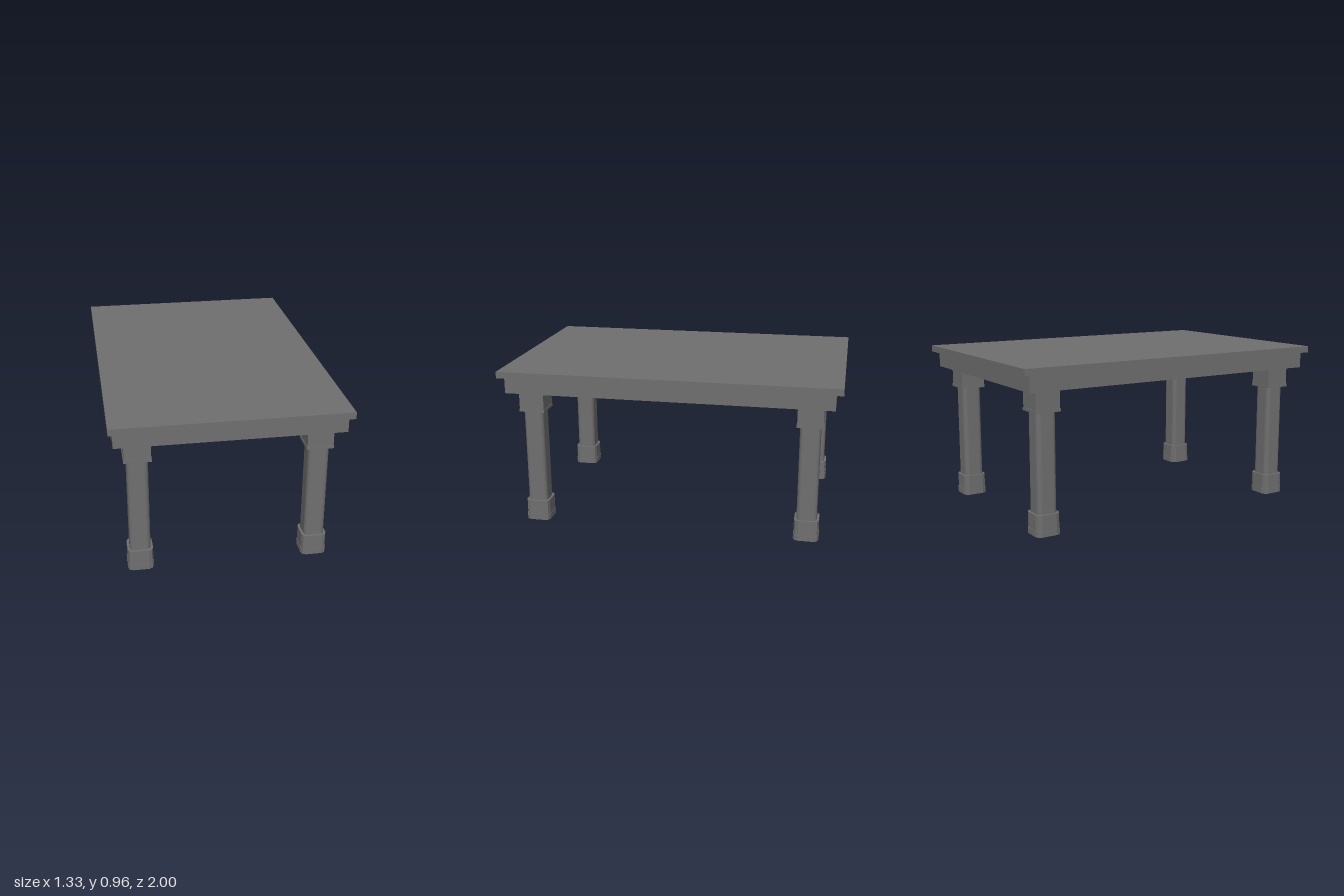
import * as THREE from 'three';

const material = new THREE.MeshStandardMaterial({ color: 0x707070, flatShading: true });

// Square block between two heights
function slab(name, width, depth, y0, y1) {
  const mesh = new THREE.Mesh(new THREE.BoxGeometry(width, y1 - y0, depth), material);
  mesh.name = name;
  mesh.position.y = (y0 + y1) / 2;
  return mesh;
}

// Upright square post with eased corners
function post(name, width, radius, segments, y0, y1) {
  const c = width / 2 - radius;
  const shape = new THREE.Shape();
  shape.absarc(c, c, radius, 0, Math.PI / 2);
  shape.absarc(-c, c, radius, Math.PI / 2, Math.PI);
  shape.absarc(-c, -c, radius, Math.PI, Math.PI * 1.5);
  shape.absarc(c, -c, radius, Math.PI * 1.5, Math.PI * 2);
  const geometry = new THREE.ExtrudeGeometry(shape, { depth: y1 - y0, bevelEnabled: false, curveSegments: segments });
  geometry.rotateX(-Math.PI / 2);
  const mesh = new THREE.Mesh(geometry, material);
  mesh.name = name;
  mesh.position.y = y0;
  return mesh;
}

// One leg: foot, base block, shaft, and capital with a thin lip
function leg(name, x, z) {
  const group = new THREE.Group();
  group.name = name;
  group.add(
    post('foot', 0.15, 0.03, 1, 0, 0.035),
    post('baseBlock', 0.145, 0.028, 1, 0.035, 0.125),
    post('shaft', 0.119, 0.026, 3, 0.125, 0.697),
    slab('capitalLip', 0.155, 0.155, 0.697, 0.714),
    slab('capital', 0.149, 0.149, 0.714, 0.823)
  );
  group.position.set(x, 0, z);
  return group;
}

export function createModel() {
  const table = new THREE.Group();
  table.name = 'table';

  // Top board over a solid apron
  table.add(slab('tableTop', 1.33, 2, 0.918, 0.957));
  table.add(slab('apron', 1.28, 1.92, 0.823, 0.918));

  // Four matching legs
  for (const sx of [-1, 1]) {
    for (const sz of [-1, 1]) {
      const name = (sz > 0 ? 'front' : 'back') + (sx > 0 ? 'Left' : 'Right') + 'Leg';
      table.add(leg(name, sx * 0.508, sz * 0.823));
    }
  }
  return table;
}
